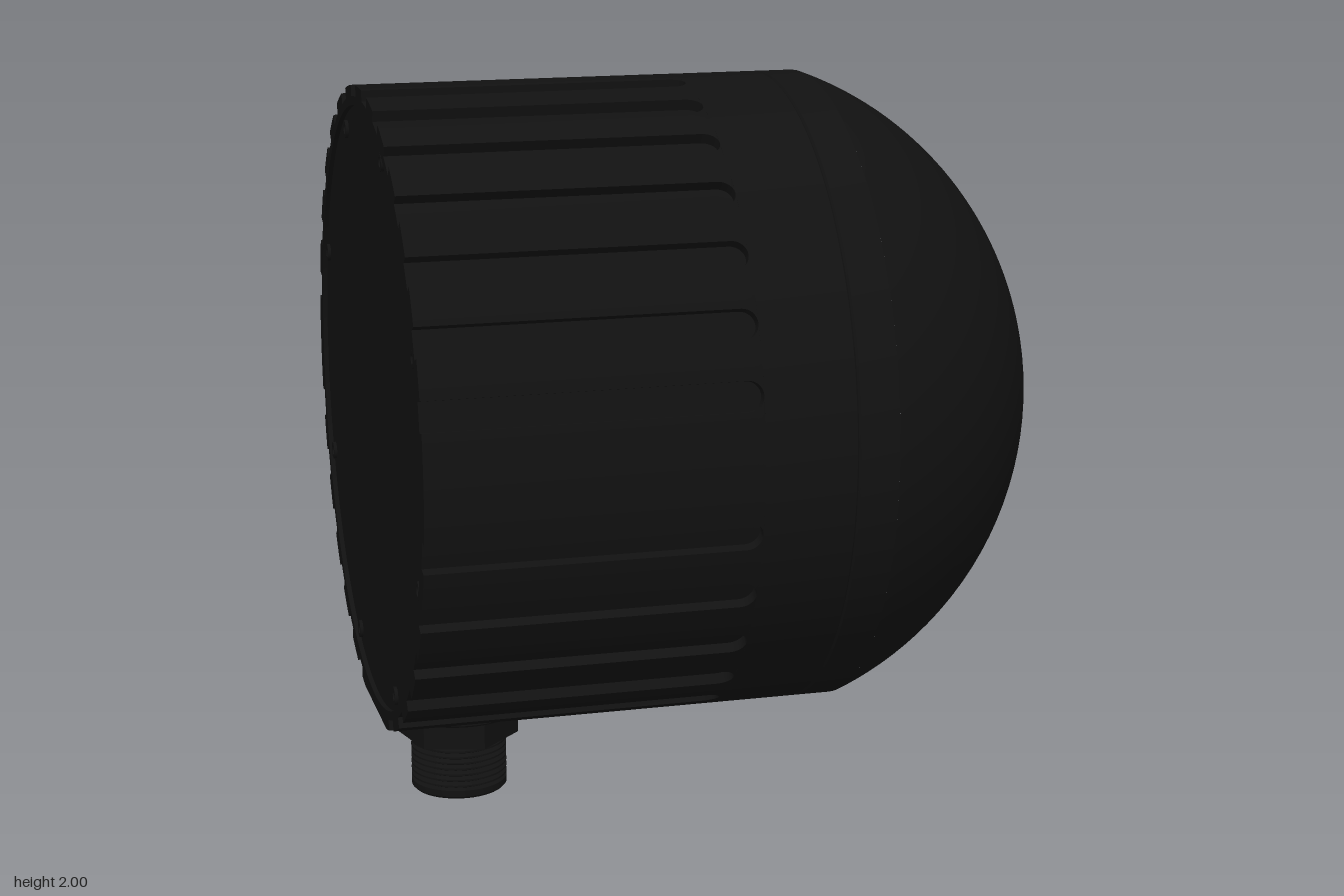
import * as THREE from 'three';
import { toCreasedNormals } from 'three/addons/utils/BufferGeometryUtils.js';

const CY = 1.115, R = 0.885, FLOOR = 0.855, FLAT_Y = 0.25;
const BACK = -0.93, GROOVE_END = -0.05, RIM_X = 0.31, TIP_X = 0.925;
const material = new THREE.MeshStandardMaterial({ color: 0x111111 });

function addMesh(parent, name, geometry, crease = 0.5) {
  const mesh = new THREE.Mesh(toCreasedNormals(geometry, crease), material);
  mesh.name = name;
  parent.add(mesh);
  return mesh;
}

// Point on a circle around the body axis (x), angle measured from +z towards +y
const around = (x, r, a) => new THREE.Vector3(x, CY + r * Math.sin(a), r * Math.cos(a));

// Skin a list of closed rings of points
function loft(rings) {
  const n = rings[0].length, index = [];
  for (let i = 0; i < rings.length - 1; i++) {
    for (let j = 0; j < n; j++) {
      const k = (j + 1) % n, a = i * n + j, b = i * n + k;
      index.push(a, a + n, b + n, a, b + n, b);
    }
  }
  const g = new THREE.BufferGeometry().setFromPoints(rings.flat());
  g.setIndex(index);
  return g;
}

// Turned profile of [radius, position along the axis]
function turned(points, segments = 48) {
  return new THREE.LatheGeometry(points.map(([r, y]) => new THREE.Vector2(r, y)), segments);
}

// Ring of the grooved sleeve: 30 sectors, plain at both sides and at the bottom
function sleeveRing(x, halfWidth) {
  const ring = [], deg = Math.PI / 180, plain = [0, 15, 22, 23];
  for (let k = 0; k < 30; k++) {
    const low = plain.includes(k) ? R : FLOOR;
    const h = halfWidth;
    for (const [a, r] of [[-6, R], [-4.3, R], [-h, R], [-h, low], [0, low], [h, low], [h, R], [4.3, R]]) {
      const p = around(x, r, (12 * k + a) * deg);
      p.y = Math.max(p.y, FLAT_Y);
      ring.push(p);
    }
  }
  return ring;
}

function groovedSleeve() {
  const wide = 2.6, roundLength = 0.04;
  const first = sleeveRing(BACK, wide);
  const inner = (x) => first.map((p) => around(x, 0.83, Math.atan2(p.y - CY, p.z)));
  const rings = [inner(BACK + 0.015), inner(BACK), first];
  // Rounded ends of the grooves
  for (let i = 0; i <= 8; i++) {
    const t = Math.sin((i / 8) * Math.PI / 2);
    rings.push(sleeveRing(GROOVE_END - roundLength * (1 - t), wide * Math.sqrt(Math.max(0, 1 - t * t))));
  }
  return loft(rings);
}

// Spherical cap whose rings blend from the rim to a small countersunk dimple
function domeGeometry() {
  const h = TIP_X - RIM_X, radius = (R * R + h * h) / (2 * h);
  const centre = new THREE.Vector3(TIP_X - radius, CY, 0);
  const d = new THREE.Vector3(0.897, 0.215, 0.2).normalize();
  const e1 = new THREE.Vector3(0, 0, 1).addScaledVector(d, -d.z).normalize();
  const e2 = e1.clone().cross(d);
  const n = 96, steps = 28, rings = [];
  const circle = (r, depth) => Array.from({ length: n }, (_, j) => {
    const a = (j / n) * Math.PI * 2;
    const along = Math.sqrt(radius * radius - r * r) - depth;
    return centre.clone().addScaledVector(d, along)
      .addScaledVector(e1, r * Math.cos(a)).addScaledVector(e2, r * Math.sin(a));
  });
  const edge = circle(0.063, 0);
  for (let i = 0; i <= steps; i++) {
    rings.push(edge.map((p, j) => around(RIM_X, R, (j / n) * Math.PI * 2).lerp(p, i / steps)
      .sub(centre).setLength(radius).add(centre)));
  }
  rings.push(circle(0.03, 0.035), circle(0.001, 0.04));
  return loft(rings);
}

export function createModel() {
  const model = new THREE.Group();
  model.name = 'domedHousing';

  // Housing
  addMesh(model, 'groovedSleeve', groovedSleeve());
  const band = turned([
    [0.8, GROOVE_END], [R, GROOVE_END], [R, 0.195], [R - 0.005, 0.2], [R, 0.205], [R, RIM_X],
  ], 120);
  addMesh(model, 'frontBand', band.rotateZ(-Math.PI / 2).translate(0, CY, 0));
  addMesh(model, 'dome', domeGeometry());

  // Back lid with a ring of screws
  const lid = turned([[0, 0], [0.835, 0], [0.835, 0.03]], 96);
  addMesh(model, 'backLid', lid.rotateZ(-Math.PI / 2).translate(BACK + 0.013, CY, 0));
  for (let i = 0; i < 8; i++) {
    const screw = turned([[0, 0.008], [0.012, 0.008], [0.014, 0], [0.025, 0], [0.025, 0.02]], 16);
    const p = around(BACK + 0.004, 0.79, (i + 0.5) * Math.PI / 4);
    addMesh(model, 'lidScrew', screw.rotateZ(-Math.PI / 2).translate(p.x, p.y, p.z));
  }

  // Cable connector under the housing
  const connector = new THREE.Group();
  connector.name = 'connector';
  connector.position.x = -0.695;
  model.add(connector);
  addMesh(connector, 'flange', turned([[0, 0.232], [0.185, 0.232], [0.192, 0.238], [0.192, 0.27]]));
  const nut = new THREE.CylinderGeometry(0.17, 0.17, 0.085, 6);
  addMesh(connector, 'hexNut', nut.rotateY(Math.PI / 12).translate(0, 0.197, 0));

  // Threaded barrel with an open socket
  const profile = [[0, 0.06], [0.1, 0.06], [0.1, 0], [0.128, 0], [0.135, 0.007], [0.135, 0.025]];
  for (let i = 0; i < 7; i++) {
    const y = 0.03 + i * 0.017;
    profile.push([0.122, y], [0.135, y + 0.006], [0.135, y + 0.011]);
  }
  profile.push([0.122, 0.155], [0.122, 0.18]);
  addMesh(connector, 'threadedBarrel', turned(profile));

  // Round plug on the flat underside
  const plug = turned([
    [0, 0.247], [0.06, 0.247], [0.065, 0.235], [0.105, 0.235], [0.12, 0.243], [0.12, 0.27],
  ]);
  addMesh(model, 'bottomPlug', plug.translate(-0.3, 0, 0));

  return model;
}
